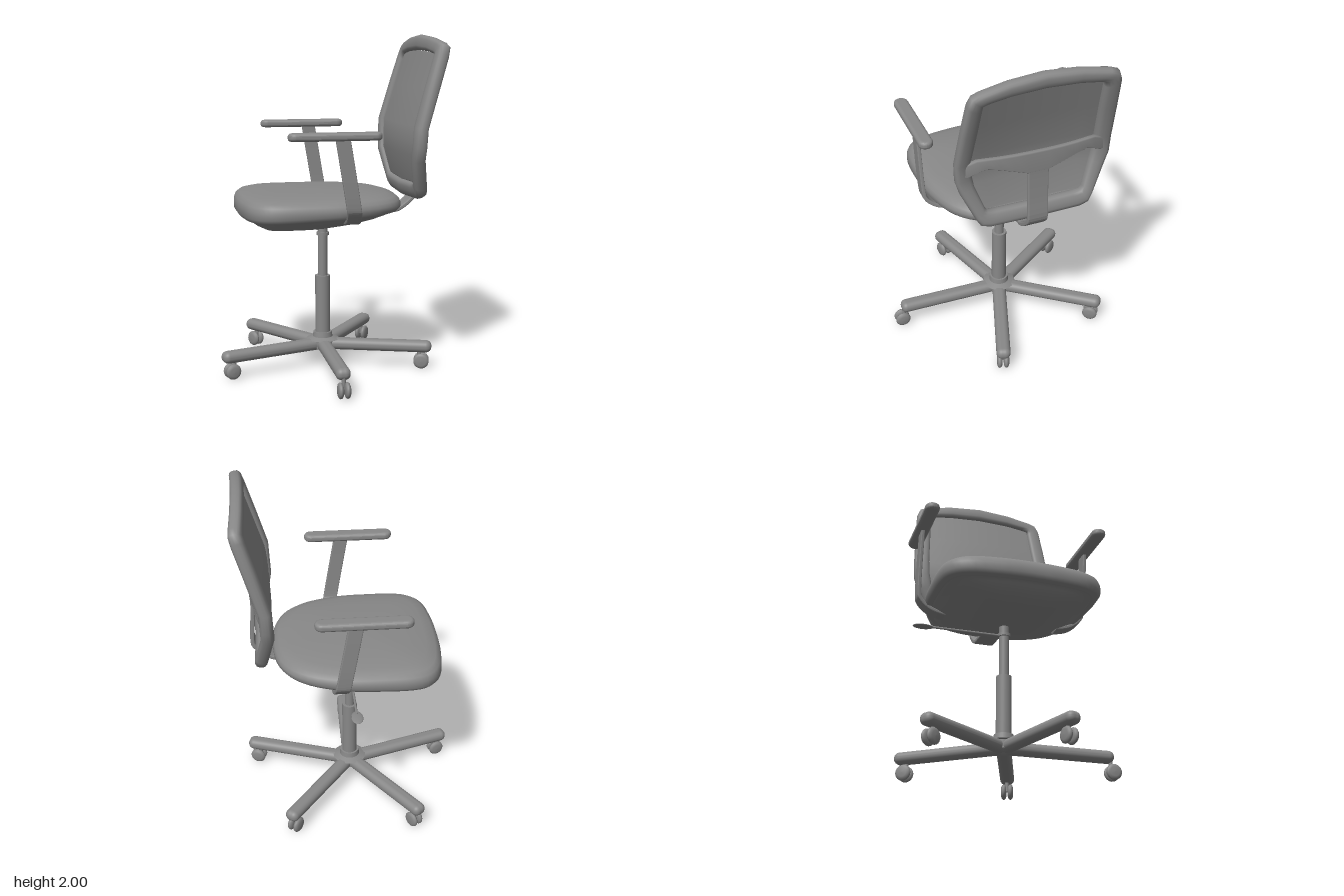
import * as THREE from 'three';
import { RoundedBoxGeometry } from 'three/addons/geometries/RoundedBoxGeometry.js';

const MID_Z = -0.07; // symmetry plane of the chair
const grey = new THREE.MeshStandardMaterial({ color: 0x888888 });
const greyThin = new THREE.MeshStandardMaterial({ color: 0x888888, side: THREE.DoubleSide });

function add(parent, name, geometry, x = 0, y = 0, z = 0, material = grey) {
  const mesh = new THREE.Mesh(geometry, material);
  mesh.name = name;
  mesh.position.set(x, y, z);
  parent.add(mesh);
}

// Skin a list of rings of [x, y, z] points
function loft(rings, closeRing = true, closeLoop = false) {
  const n = rings[0].length, m = rings.length, index = [];
  for (let i = 0; i < (closeLoop ? m : m - 1); i++) {
    for (let j = 0; j < (closeRing ? n : n - 1); j++) {
      const i2 = (i + 1) % m, j2 = (j + 1) % n;
      const a = i * n + j, b = i * n + j2, c = i2 * n + j, d = i2 * n + j2;
      index.push(a, b, c, b, d, c);
    }
  }
  const g = new THREE.BufferGeometry();
  g.setAttribute('position', new THREE.Float32BufferAttribute(rings.flat(2), 3));
  g.setIndex(index);
  g.computeVertexNormals();
  return g;
}

// Flat strip of given thickness following a 2D path, extruded to a width
function strip(path, thickness, width) {
  const pts = new THREE.SplineCurve(path.map(p => new THREE.Vector2(...p))).getPoints(28);
  const side = s => pts.map((p, i) => {
    const t = pts[Math.min(i + 1, 28)].clone().sub(pts[Math.max(i - 1, 0)]).normalize();
    return new THREE.Vector2(p.x - t.y * s * thickness / 2, p.y + t.x * s * thickness / 2);
  });
  const shape = new THREE.Shape([...side(1), ...side(-1).reverse()]);
  const bevel = thickness * 0.25;
  return new THREE.ExtrudeGeometry(shape, {
    depth: width - 2 * bevel, bevelThickness: bevel, bevelSize: bevel, bevelOffset: -bevel, bevelSegments: 2,
  }).translate(0, 0, bevel - width / 2);
}

// Side profile of the backrest: x for a height y, bowed across z
const backProfile = [[1.04, 0.525], [1.1, 0.51], [1.3, 0.46], [1.48, 0.468], [1.93, 0.607], [2.0, 0.618]];
function backX(y, z) {
  let k = 0;
  while (k < backProfile.length - 2 && y > backProfile[k + 1][0]) k++;
  const [y0, x0] = backProfile[k], [y1, x1] = backProfile[k + 1];
  return x0 + (x1 - x0) * (y - y0) / (y1 - y0) - 0.014 + 0.14 * z * z;
}

function buildSeat(seat) {
  // Plan outline: [x, half width] from front edge to rear edge
  const half = [[-0.53, 0.1], [-0.52, 0.21], [-0.5, 0.33], [-0.46, 0.41], [-0.4, 0.455], [-0.3, 0.475],
    [-0.15, 0.478], [0, 0.473], [0.1, 0.455], [0.24, 0.41], [0.34, 0.34], [0.4, 0.25], [0.435, 0.12]];
  const outline = new THREE.CatmullRomCurve3([
    ...[...half].reverse().map(([x, w]) => new THREE.Vector3(x, 0, -w)),
    ...half.map(([x, w]) => new THREE.Vector3(x, 0, w)),
  ], true).getPoints(64).slice(0, 64);
  const c = -0.045;
  const ring = ([s, y, dx = 0, tilt = 0]) =>
    outline.map(p => [c + dx + (p.x - c) * s, y + tilt * (p.x - c) * s, p.z * s]);
  add(seat, 'seatCushion', loft([[0.7, 0.975, 0, 0.035], [0.9, 0.966, 0, 0.035], [0.97, 0.97, 0, 0.035],
    [1, 0.99, 0, 0.03], [1, 1.02, 0, 0.01], [0.98, 1.045], [0.93, 1.065], [0.82, 1.08], [0.6, 1.093],
    [0.3, 1.1], [0, 1.102]].map(ring)));
  add(seat, 'seatShell', loft([[0, 0.868, -0.12], [0.3, 0.87, -0.12], [0.46, 0.879, -0.12],
    [0.66, 0.908, -0.075], [0.79, 0.937, -0.035], [0.87, 0.957, -0.005, 0.015], [0.93, 0.972, 0, 0.035],
    [0.94, 0.99, 0, 0.035]].map(ring)));
}

function buildBack(back) {
  // Outer and inner edges of one half of the frame: [z, y], top to bottom
  const outer = [[0, 2.0], [0.2, 1.985], [0.36, 1.957], [0.405, 1.94], [0.425, 1.89], [0.44, 1.7],
    [0.455, 1.47], [0.45, 1.36], [0.425, 1.28], [0.345, 1.11], [0.32, 1.07], [0.27, 1.052], [0, 1.042]];
  const inner = [[0, 1.91], [0.19, 1.902], [0.3, 1.888], [0.335, 1.88], [0.337, 1.85], [0.345, 1.7],
    [0.36, 1.48], [0.355, 1.39], [0.34, 1.31], [0.29, 1.17], [0.275, 1.15], [0.22, 1.145], [0, 1.138]];
  const full = h => [...h, ...h.slice(1, -1).reverse().map(([z, y]) => [-z, y])];
  const fo = full(outer), fi = full(inner);
  const soft = v => Math.sign(v) * Math.abs(v) ** 0.75;
  // Rounded section, its depth measured square to the leaning back
  add(back, 'backFrame', loft(fo.map(([oz, oy], i) => {
    const [iz, iy] = fi[i];
    const slope = (backX(oy + 0.03, 0) - backX(oy - 0.03, 0)) / 0.06;
    return Array.from({ length: 16 }, (_, j) => {
      const a = j / 16 * Math.PI * 2, t = 0.5 + 0.5 * soft(Math.cos(a)), d = 0.036 * soft(Math.sin(a));
      const z = iz + (oz - iz) * t, y = iy + (oy - iy) * t;
      return [backX(y, z) - d, y + d * slope, z];
    });
  }), true, true));

  // Mesh panel filling the frame
  const rows = inner.map(([z, y]) => Array.from({ length: 9 }, (_, j) => {
    const pz = z * 1.05 * (j / 4 - 1);
    return [backX(y, pz) - 0.008, y, pz];
  }));
  add(back, 'backPanel', loft(rows, false), 0, 0, 0, greyThin);

  // Yoke spreading from the stem to both sides of the frame: [z, top, bottom, x]
  const yoke = [[0.06, 1.5, 1.372, 0.545], [0.14, 1.5, 1.4, 0.542], [0.22, 1.5, 1.425, 0.535],
    [0.29, 1.5, 1.44, 0.525], [0.34, 1.497, 1.42, 0.514], [0.385, 1.475, 1.395, 0.5], [0.41, 1.455, 1.39, 0.49]];
  const stations = [...[...yoke].reverse().map(([z, ...r]) => [-z, ...r]), ...yoke];
  add(back, 'backYoke', loft(stations.map(([z, top, low, x]) => {
    const r = 0.006, w = 0.016;
    return [[x + w, low + r, z], [x + w, top - r, z], [x + w - r, top, z], [x - w + r, top, z],
      [x - w, top - r, z], [x - w, low + r, z], [x - w + r, low, z], [x + w - r, low, z]].reverse();
  })), 0, 0, 0, greyThin);
  add(back, 'backStem', strip([[0.547, 1.42], [0.546, 1.33], [0.55, 1.2], [0.557, 1.07], [0.53, 1.02],
    [0.46, 0.965], [0.4, 0.95], [0.28, 0.945]], 0.024, 0.12));
}

function buildArmrest(arm) {
  // Pad: a flat stadium with rounded edges
  const shape = new THREE.Shape();
  shape.absarc(0.18, 0, 0.022, -Math.PI / 2, Math.PI / 2);
  shape.absarc(-0.265, 0, 0.022, Math.PI / 2, Math.PI * 1.5);
  const pad = new THREE.ExtrudeGeometry(shape, {
    depth: 0.01, bevelThickness: 0.018, bevelSize: 0.02, bevelSegments: 5, curveSegments: 12,
  }).rotateX(-Math.PI / 2);
  add(arm, 'armPad', pad, 0, 1.44, 0.512);

  // Post: drops from the pad, curls under the seat and leans backward
  const post = strip([[0.512, 1.44], [0.512, 1.25], [0.508, 1.06], [0.495, 1.01], [0.455, 0.972],
    [0.41, 0.95], [0.34, 0.935]], 0.022, 0.084);
  post.rotateY(-Math.PI / 2);
  const p = post.attributes.position;
  for (let i = 0; i < p.count; i++) p.setX(i, p.getX(i) + (1.43 - p.getY(i)) * 0.168);
  post.computeVertexNormals();
  add(arm, 'armPost', post);
}

function buildBase(base) {
  const tube = (name, r0, r1, y0, y1) =>
    add(base, name, new THREE.CylinderGeometry(r1, r0, y1 - y0, 32), 0, (y0 + y1) / 2, 0);
  tube('hub', 0.075, 0.075, 0.115, 0.165);
  tube('hubFlare', 0.1, 0.06, 0.165, 0.18);
  tube('collar', 0.06, 0.056, 0.18, 0.21);
  tube('columnSleeve', 0.045, 0.045, 0.2, 0.56);
  tube('gasLift', 0.029, 0.029, 0.55, 0.9);
  tube('leverRing', 0.038, 0.038, 0.808, 0.826);

  // Height lever
  add(base, 'leverRod', new THREE.CylinderGeometry(0.007, 0.007, 0.44, 10).rotateX(Math.PI / 2), 0, 0.815, -0.24);
  add(base, 'leverPaddle', new THREE.SphereGeometry(1, 20, 12).scale(0.034, 0.008, 0.06), 0, 0.812, -0.485);

  // Five legs with twin-wheel casters
  const wheelProfile = [[0, -0.017], [0.026, -0.016], [0.039, -0.011], [0.046, -0.003], [0.046, 0.004],
    [0.041, 0.011], [0.028, 0.016], [0, 0.017]].map(p => new THREE.Vector2(...p));
  const wheel = new THREE.LatheGeometry(wheelProfile, 24).rotateX(Math.PI / 2);
  for (let k = 0; k < 5; k++) {
    const leg = new THREE.Group();
    leg.name = 'leg';
    leg.rotation.y = -THREE.MathUtils.degToRad(91 + 72 * k);
    base.add(leg);
    const length = k === 0 ? 0.652 : 0.664, r = k === 0 ? 0.648 : 0.603;
    add(leg, 'legBeam', new RoundedBoxGeometry(length, 0.07, 0.085, 5, 0.033), length / 2, 0.135, 0);
    add(leg, 'casterStem', new THREE.CylinderGeometry(0.012, 0.012, 0.07, 12), r - 0.012, 0.08, 0);
    for (const s of [-1, 1]) add(leg, 'casterWheel', wheel, r, 0.047, s * 0.02);
  }
}

export function createModel() {
  const model = new THREE.Group();
  model.name = 'officeChair';
  const section = (name, build, x = 0, mirror = 1) => {
    const g = new THREE.Group();
    g.name = name;
    g.position.set(x, 0, MID_Z);
    g.scale.z = mirror;
    build(g);
    model.add(g);
  };
  section('seat', buildSeat);
  section('backrest', buildBack);
  section('leftArmrest', buildArmrest);
  section('rightArmrest', buildArmrest, 0, -1);
  section('base', buildBase, -0.01);
  return model;
}
